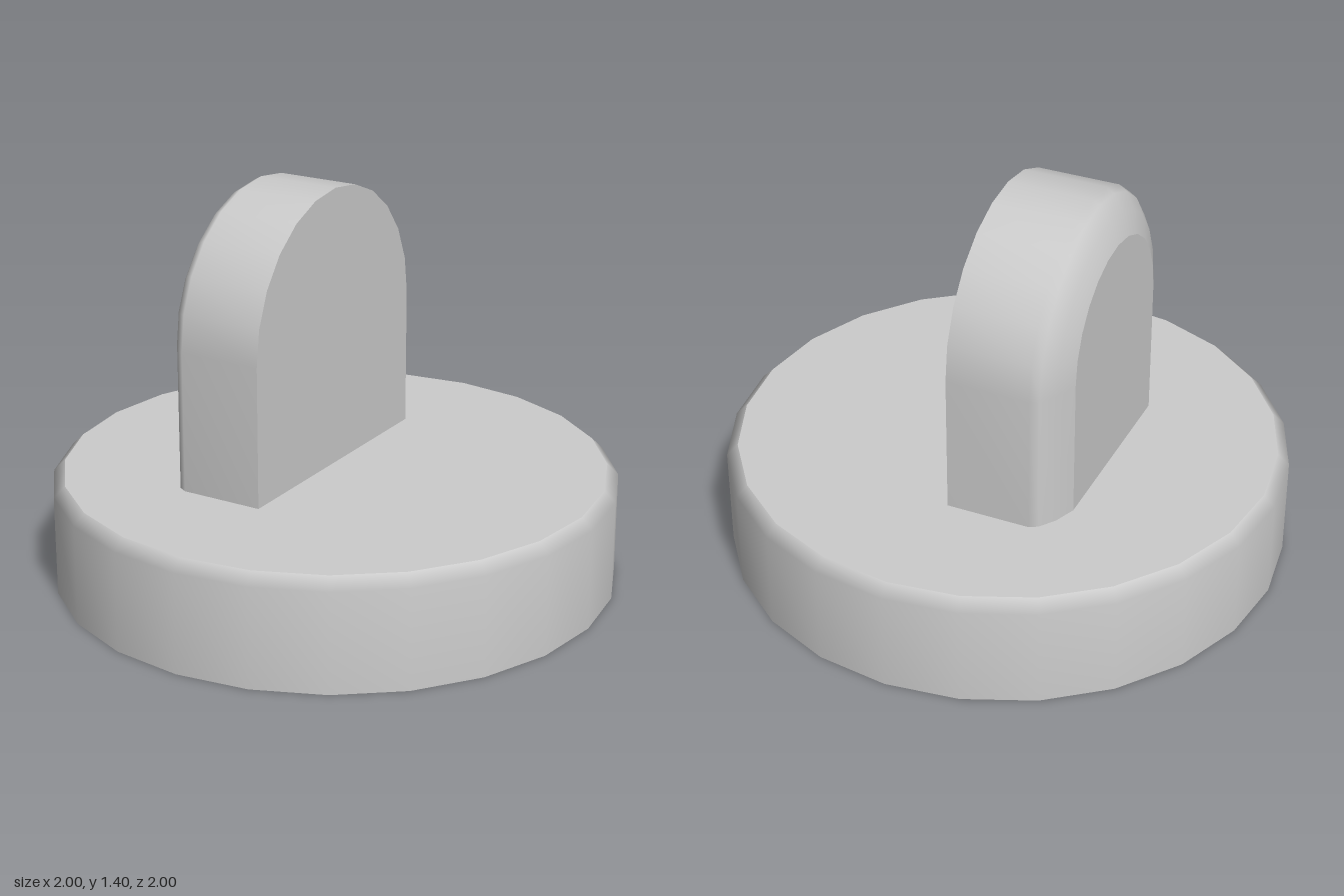
import * as THREE from 'three';

const material = new THREE.MeshStandardMaterial({ color: 0xcccccc });

function addMesh(parent, name, geometry) {
  const mesh = new THREE.Mesh(geometry, material);
  mesh.name = name;
  parent.add(mesh);
  return mesh;
}

// Arch outline of half-width r: straight sides with a 12-sided half circle on top
function archOutline(r, bottom = 0.4, centre = 0.9) {
  const points = [new THREE.Vector2(r, bottom)];
  for (let i = 0; i <= 12; i++) {
    const a = (i / 12) * Math.PI;
    points.push(new THREE.Vector2(r * Math.cos(a), centre + r * Math.sin(a)));
  }
  points.push(new THREE.Vector2(-r, bottom));
  return points;
}

// Smooth skin through arch outlines, one for each [x, half-width]
function archSkin(sections) {
  const positions = [];
  const index = [];
  let count = 0;
  for (const [x, r] of sections) {
    const outline = archOutline(r);
    count = outline.length;
    for (const p of outline) positions.push(x, p.y, -p.x);
  }
  for (let i = 0; i < sections.length - 1; i++) {
    for (let j = 0; j < count - 1; j++) {
      const a = i * count + j, b = a + 1, d = a + count, c = d + 1;
      index.push(a, d, b, b, d, c);
    }
  }
  const geometry = new THREE.BufferGeometry();
  geometry.setAttribute('position', new THREE.Float32BufferAttribute(positions, 3));
  geometry.setIndex(index);
  geometry.computeVertexNormals();
  return geometry;
}

// Flat arch-shaped face; side = 1 faces +x, side = -1 faces -x
function archFace(r, x, side) {
  return new THREE.ShapeGeometry(new THREE.Shape(archOutline(r)))
    .rotateY(side * Math.PI / 2)
    .translate(x, 0, 0);
}

export function createModel() {
  const model = new THREE.Group();
  model.name = 'model';

  // Round base with a small chamfer around its top edge
  const base = new THREE.Group();
  base.name = 'base';
  const rim = [[1, 0], [1, 0.36], [0.96, 0.4]].map(([x, y]) => new THREE.Vector2(x, y));
  addMesh(base, 'baseRim', new THREE.LatheGeometry(rim, 24));
  addMesh(base, 'baseTop', new THREE.CircleGeometry(0.96, 24).rotateX(-Math.PI / 2).translate(0, 0.4, 0));
  addMesh(base, 'baseBottom', new THREE.CircleGeometry(1, 24).rotateX(Math.PI / 2));
  model.add(base);

  // Upright arched tab: flat on one side, rounded edge on the other
  const tab = new THREE.Group();
  tab.name = 'archedTab';
  const sections = [[0, 0.5], [-0.3, 0.5], [-0.33, 0.483], [-0.37, 0.427], [-0.4, 0.35]];
  addMesh(tab, 'tabEdge', archSkin(sections));
  addMesh(tab, 'tabFlatFace', archFace(0.5, 0, 1));
  addMesh(tab, 'tabRoundedFace', archFace(0.35, -0.4, -1));
  model.add(tab);

  return model;
}
